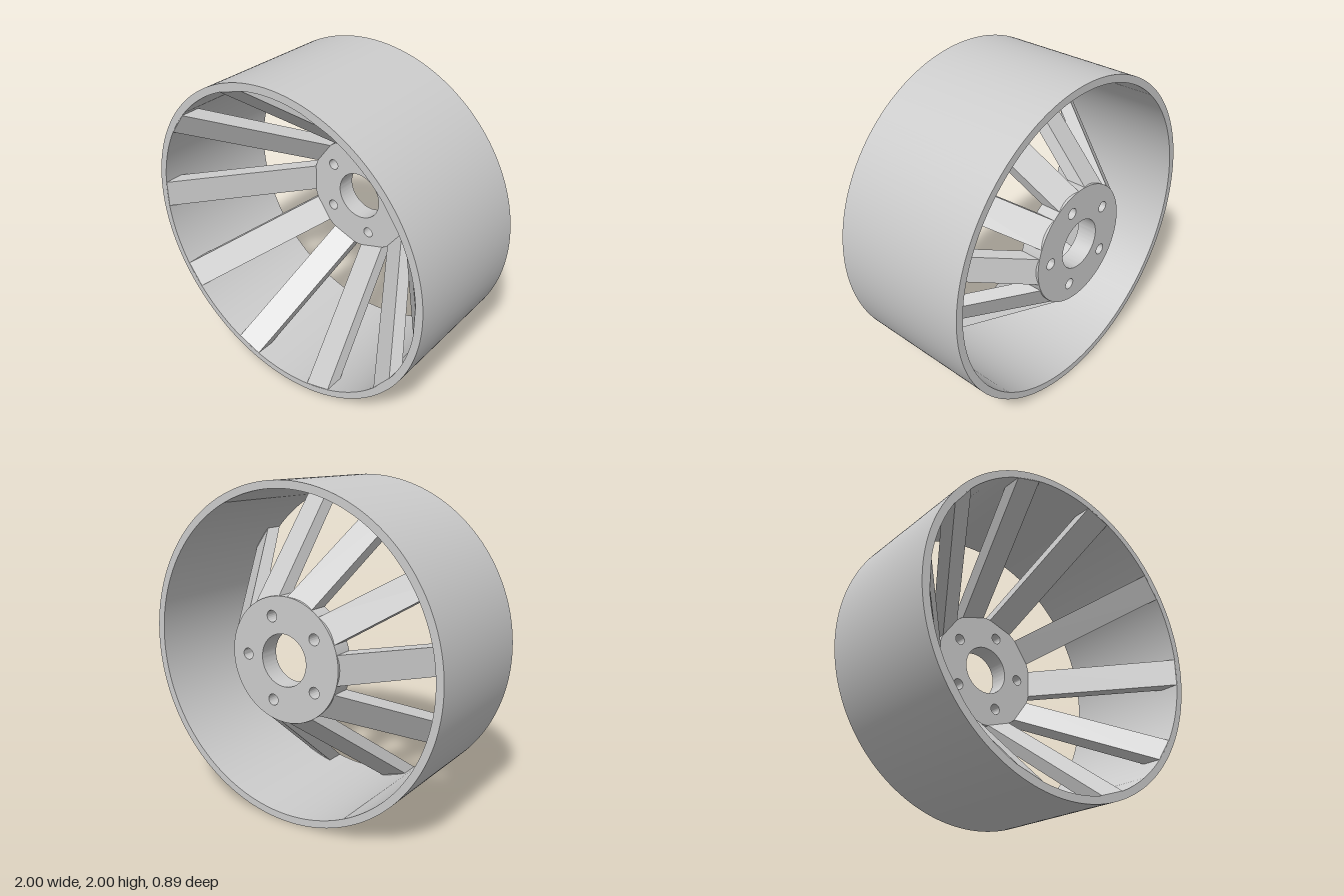
import * as THREE from 'three';
import { toCreasedNormals } from 'three/addons/utils/BufferGeometryUtils.js';

const HALF = 0.445; // half of the rim's width
const HUB_DEPTH = 0.125; // thickness of hub and spokes along the axle

// Disc with round holes given as [x, y, radius], from z0 to z0 + depth
function disc(radius, holes, z0, depth, segments) {
  const shape = new THREE.Shape().absarc(0, 0, radius, 0, Math.PI * 2, false);
  for (const [x, y, r] of holes) {
    shape.holes.push(new THREE.Path().absarc(x, y, r, 0, Math.PI * 2, true));
  }
  const geometry = new THREE.ExtrudeGeometry(shape, { depth, bevelEnabled: false, curveSegments: segments });
  geometry.translate(0, 0, z0);
  return toCreasedNormals(geometry, 0.6);
}

// Slanted bar: side profile in (radius, z), extruded across its width
function spokeGeometry() {
  const width = 0.175;
  const back = -HALF, front = HALF - 0.001;
  const profile = new THREE.Shape([
    new THREE.Vector2(0.358, back + 0.001),
    new THREE.Vector2(0.95, front - HUB_DEPTH),
    new THREE.Vector2(0.965, front - HUB_DEPTH),
    new THREE.Vector2(0.965, front),
    new THREE.Vector2(0.95, front),
    new THREE.Vector2(0.358, back + HUB_DEPTH),
  ]);
  const geometry = new THREE.ExtrudeGeometry(profile, { depth: width, bevelEnabled: false });
  geometry.translate(0, 0, -width / 2);
  geometry.rotateX(Math.PI / 2);
  return geometry;
}

export function createModel() {
  const wheel = new THREE.Group();
  wheel.name = 'wheel';
  wheel.position.y = 1;

  const metal = new THREE.MeshStandardMaterial({ color: 0xcccccc });
  metal.name = 'grey metal';

  const add = (name, geometry) => {
    const mesh = new THREE.Mesh(geometry, metal);
    mesh.name = name;
    wheel.add(mesh);
    return mesh;
  };

  // Wide thin barrel
  add('rim', disc(1, [[0, 0, 0.955]], -HALF, HALF * 2, 128));

  // Hub plate flush with the back, with centre bore and five bolt holes
  const holes = [[0, 0, 0.155]];
  for (let i = 0; i < 5; i++) {
    const a = (i / 5) * Math.PI * 2;
    holes.push([0.26 * Math.cos(a), 0.26 * Math.sin(a), 0.034]);
  }
  add('hub', disc(0.37, holes, -HALF, HUB_DEPTH, 64));

  // Ten spokes rising from the hub to the front edge of the rim
  const spoke = spokeGeometry();
  for (let i = 0; i < 10; i++) {
    add('spoke' + (i + 1), spoke).rotation.z = (i / 10) * Math.PI * 2;
  }

  const model = new THREE.Group();
  model.name = 'wheelModel';
  model.add(wheel);
  return model;
}
